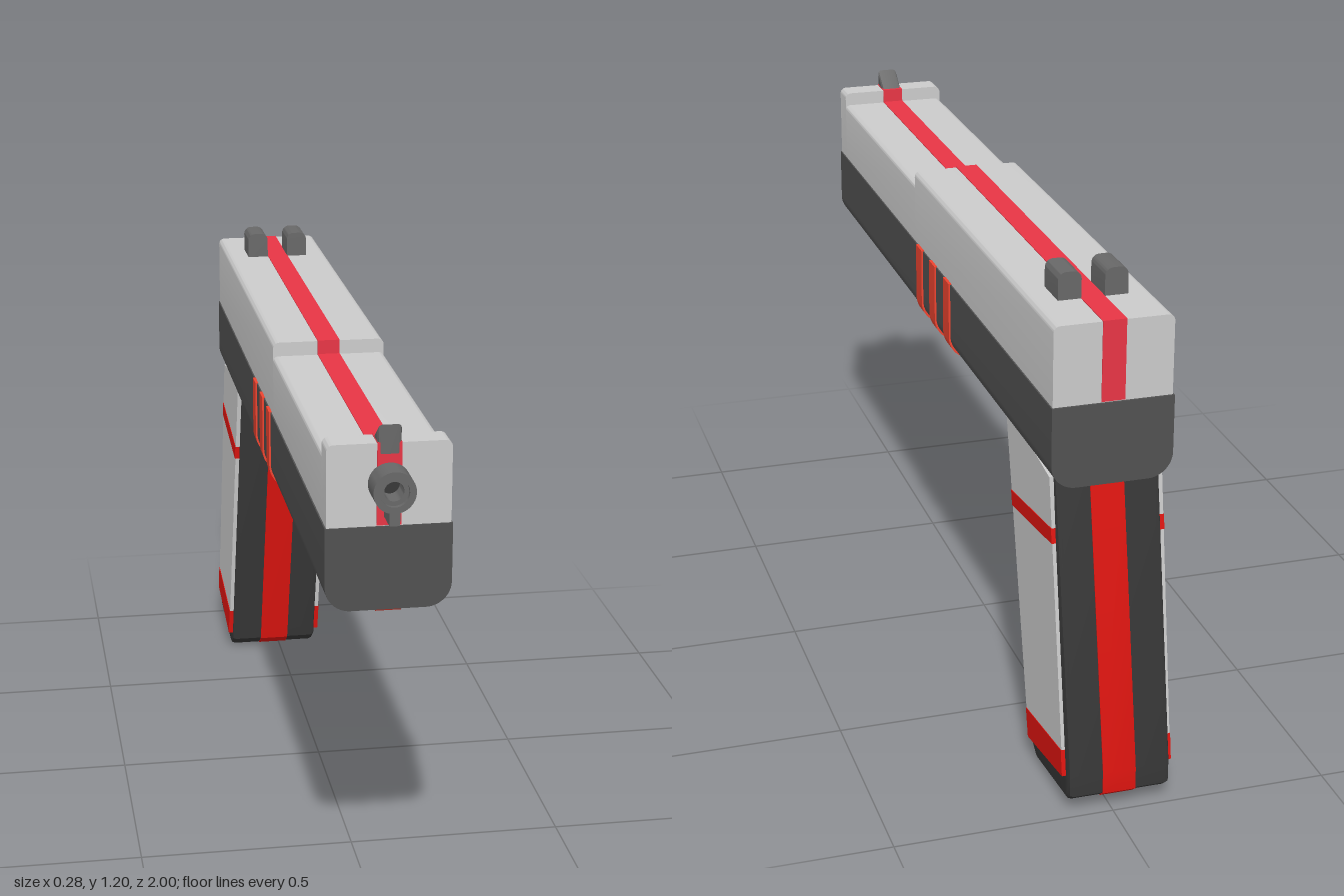
import * as THREE from 'three';
import { toCreasedNormals } from 'three/addons/utils/BufferGeometryUtils.js';

const mat = (color) => new THREE.MeshStandardMaterial({ color, roughness: 0.7 });

export function createModel() {
  const model = new THREE.Group();
  const grey = mat(0xcccccc), frameDark = mat(0x515151), gripDark = mat(0x383838);
  const steel = mat(0x686868), stripeRed = mat(0xe83545), gripRed = mat(0xe01510), orange = mat(0xee4430);
  const bellyRed = mat(0x9c2c22);

  const add = (name, geometry, material) => {
    const mesh = new THREE.Mesh(toCreasedNormals(geometry, 0.6), material);
    mesh.name = name;
    model.add(mesh);
    return mesh;
  };

  // Cross-section in x/y with rounded bottom (rb) and top (rt) corners, run from z0 to z1
  const alongZ = (w, y0, y1, rb, rt, z0, z1) => {
    const s = new THREE.Shape();
    const h = w / 2;
    s.moveTo(-h + rb, y0);
    s.lineTo(h - rb, y0);
    if (rb) s.absarc(h - rb, y0 + rb, rb, -Math.PI / 2, 0);
    s.lineTo(h, y1 - rt);
    if (rt) s.absarc(h - rt, y1 - rt, rt, 0, Math.PI / 2);
    s.lineTo(-h + rt, y1);
    if (rt) s.absarc(-h + rt, y1 - rt, rt, Math.PI / 2, Math.PI);
    s.lineTo(-h, y0 + rb);
    if (rb) s.absarc(-h + rb, y0 + rb, rb, Math.PI, Math.PI * 1.5);
    const g = new THREE.ExtrudeGeometry(s, { depth: z1 - z0, bevelEnabled: false, curveSegments: 6 });
    return g.translate(0, 0, z0);
  };

  // Side profile of [z, y] points, given a width in x, with an optional bevel
  const sideProfile = (points, width, x = 0, bevel = 0) => {
    const s = new THREE.Shape(points.map(([z, y]) => new THREE.Vector2(z, y)));
    const depth = width - 2 * bevel;
    const g = new THREE.ExtrudeGeometry(s, {
      depth, bevelEnabled: bevel > 0, bevelSize: bevel, bevelOffset: -bevel, bevelThickness: bevel, bevelSegments: 2,
    });
    return g.translate(0, 0, -depth / 2).rotateY(-Math.PI / 2).translate(x, 0, 0);
  };

  // The grip leans slightly sideways
  const lean = (g) => {
    const p = g.attributes.position;
    for (let i = 0; i < p.count; i++) p.setX(i, p.getX(i) + 0.024 * (p.getY(i) - 0.8));
    return g;
  };

  // Upper slide: high rear, lower front and a raised front lip
  add('slideRear', alongZ(0.264, 0.96, 1.143, 0, 0.015, -0.94, 0.15), grey);
  add('slideFront', alongZ(0.264, 0.96, 1.11, 0, 0.012, 0.15, 0.875), grey);
  add('slideLip', alongZ(0.264, 0.96, 1.143, 0, 0.015, 0.875, 0.935), grey);

  // Red stripe over the top and both ends of the slide
  add('slideStripe', sideProfile([
    [-0.942, 0.965], [0.937, 0.965], [0.937, 1.145], [0.873, 1.145],
    [0.873, 1.112], [0.152, 1.112], [0.152, 1.145], [-0.942, 1.145],
  ], 0.052), stripeRed);

  // Lower frame with its bands and belly stripe
  add('frame', alongZ(0.27, 0.778, 0.963, 0.055, 0, -0.945, 0.938), frameDark);
  for (const z of [0.095, -0.025, -0.15]) {
    add('frameBand', alongZ(0.278, 0.773, 0.965, 0.057, 0, z - 0.025, z + 0.025), orange);
  }
  add('bellyStripe', alongZ(0.055, 0.775, 0.8, 0, 0, -0.6, 0.936), bellyRed);

  // Sights
  for (const x of [-0.053, 0.051]) {
    add('rearSight', alongZ(0.052, 1.13, 1.205, 0, 0.018, -0.8, -0.71).translate(x, 0, 0), steel);
  }
  add('frontSight', sideProfile([[0.938, 1.12], [0.938, 1.183], [0.875, 1.14], [0.875, 1.12]], 0.05, 0, 0.008), steel);

  // Muzzle: two nested rings, a dark bore and a lug underneath
  const ring = (outer, inner, z1) => {
    const s = new THREE.Shape().absarc(0, 0, outer, 0, Math.PI * 2);
    s.holes.push(new THREE.Path().absarc(0, 0, inner, 0, Math.PI * 2, true));
    const g = new THREE.ExtrudeGeometry(s, { depth: z1 - 0.92, bevelEnabled: false, curveSegments: 16 });
    return g.translate(0, 1.056, 0.92);
  };
  add('muzzle', ring(0.045, 0.031, 1), steel);
  add('muzzleLiner', ring(0.032, 0.021, 0.99), steel);
  add('bore', new THREE.CircleGeometry(0.022, 24).translate(0, 1.056, 0.94), gripDark);
  add('muzzleLug', new THREE.BoxGeometry(0.022, 0.035, 0.07).translate(0, 1.002, 0.965), steel);

  // Trigger guard and trigger
  add('triggerGuard', sideProfile([
    [-0.303, 0.8], [-0.292, 0.653], [-0.325, 0.638], [-0.65, 0.606], [-0.65, 0.645],
    [-0.36, 0.675], [-0.336, 0.682], [-0.346, 0.8],
  ], 0.083, -0.012), gripDark);
  add('trigger', sideProfile([[-0.5, 0.8], [-0.407, 0.7], [-0.468, 0.7], [-0.61, 0.8]], 0.035, -0.012), grey);

  // Grip core with a red strip down the front, base and back
  const core = [[-0.588, 0.85], [-0.712, 0.06], [-0.718, 0.03], [-0.748, 0.006], [-0.97, 0.032], [-0.99, 0.048], [-0.993, 0.1], [-0.914, 0.79], [-0.907, 0.85]];
  add('gripCore', lean(sideProfile(core, 0.236, 0, 0.012)), gripDark);
  const centre = [-0.8, 0.43];
  const strip = core.map((p) => [centre[0] + (p[0] - centre[0]) * 1.012, centre[1] + (p[1] - centre[1]) * 1.004]);
  add('gripStrip', lean(sideProfile(strip, 0.076, 0.002)), gripRed);

  // Side panels, split into grey fields and red bands; each row is [front y, back y]
  const rows = [[0.83, 0.79], [0.635, 0.675], [0.6, 0.64], [0.12, 0.157], [0.05, 0.094]];
  const front = (y) => [-0.597 - (0.824 - y) * 0.16, y];
  const back = (y) => [-0.905 - (0.79 - y) * 0.095, y];
  for (let i = 0; i < 4; i++) {
    const [a, b] = [rows[i], rows[i + 1]];
    const quad = [front(a[0]), front(b[0]), back(b[1]), back(a[1])];
    const isBand = i % 2 === 1;
    for (const side of [-1, 1]) {
      const g = sideProfile(quad, 0.03, side * (isBand ? 0.1125 : 0.111));
      add(isBand ? 'gripBand' : 'gripPanel', lean(g), isBand ? gripRed : grey);
    }
  }
  return model;
}
